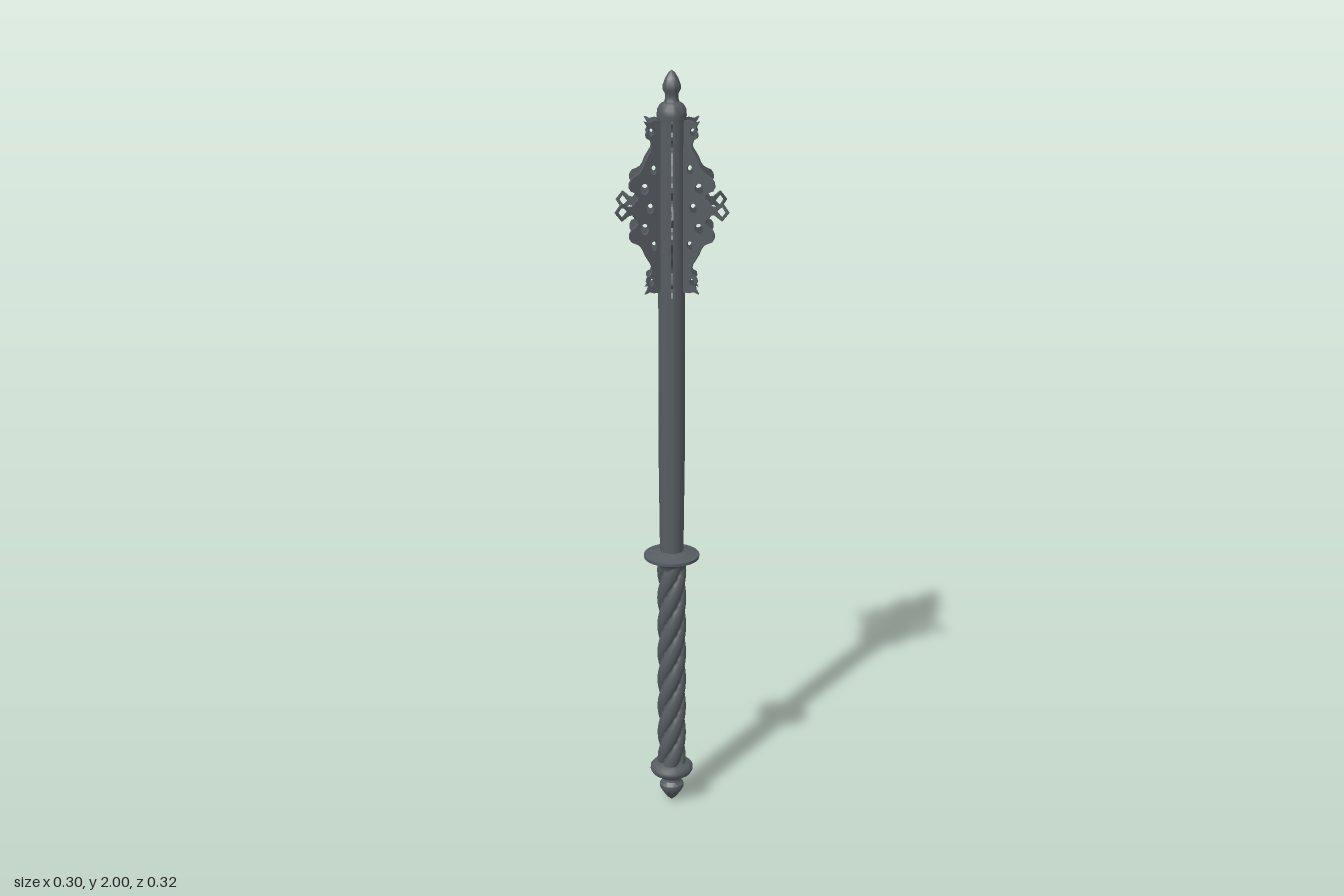
import * as THREE from 'three';
import { mergeVertices, toCreasedNormals } from 'three/addons/utils/BufferGeometryUtils.js';

const MID = 1.665; // height of the flange tips

export function createModel() {
  const model = new THREE.Group();
  model.name = 'flangedMace';
  const steel = new THREE.MeshStandardMaterial({ color: 0x565c61 });
  steel.name = 'darkSteel';

  const add = (name, geometry, parent = model) => {
    const mesh = new THREE.Mesh(geometry, steel);
    mesh.name = name;
    parent.add(mesh);
    return mesh;
  };
  // Turned part from [radius, height] pairs, bottom to top
  const turned = (name, profile) => {
    const points = profile.map(([r, y]) => new THREE.Vector2(r, y));
    add(name, toCreasedNormals(new THREE.LatheGeometry(points, 32), 0.7));
  };

  turned('pommel', [[0, 0], [0.012, 0.01], [0.026, 0.03], [0.033, 0.043], [0.032, 0.052], [0.022, 0.061],
    [0.021, 0.068], [0.034, 0.076], [0.053, 0.089], [0.058, 0.098], [0.057, 0.107], [0.05, 0.114], [0.03, 0.12], [0, 0.12]]);
  turned('guard', [[0, 0.695], [0.036, 0.695], [0.038, 0.705], [0.048, 0.714], [0.073, 0.725],
    [0.073, 0.733], [0.05, 0.737], [0.034, 0.745], [0, 0.745]]);
  turned('shaft', [[0.031, 0.735], [0.034, 1.0], [0.034, 1.88], [0, 1.88]]);
  turned('finial', [[0, 1.875], [0.035, 1.875], [0.037, 1.89], [0.036, 1.905], [0.029, 1.917], [0.019, 1.923],
    [0.016, 1.932], [0.017, 1.943], [0.022, 1.953], [0.022, 1.964], [0.016, 1.98], [0.008, 1.993], [0, 2]]);

  // Grip of four twisted strands
  const STRANDS = 4, PITCH = 0.32;
  let grip = new THREE.CylinderGeometry(1, 1, 0.6, 48, 120, true);
  grip.translate(0, 0.41, 0);
  const pos = grip.attributes.position;
  for (let i = 0; i < pos.count; i++) {
    const y = pos.getY(i);
    const angle = Math.atan2(pos.getX(i), pos.getZ(i));
    const phase = STRANDS * (angle - (y / PITCH) * Math.PI * 2) / 2;
    const r = 0.026 + 0.0125 * Math.sqrt(Math.abs(Math.sin(phase)));
    pos.setXYZ(i, Math.sin(angle) * r, y, Math.cos(angle) * r);
  }
  grip.deleteAttribute('uv');
  grip.deleteAttribute('normal');
  grip = mergeVertices(grip, 1e-5);
  grip.computeVertexNormals();
  add('twistedGrip', grip);

  // Pierced flange outline: upper half from the tip inwards, then mirrored below
  const half = [[0.142, 0.023], [0.122, 0.011], [0.112, 0.011], [0.105, 0.02], [0.097, 0.026], [0.096, 0.034],
    [0.103, 0.042], [0.115, 0.048], [0.121, 0.058], [0.12, 0.07], [0.113, 0.08], [0.1, 0.086], [0.09, 0.092],
    [0.083, 0.102], [0.077, 0.116], [0.068, 0.13], [0.06, 0.142], [0.057, 0.156], [0.061, 0.168],
    [0.072, 0.175], [0.074, 0.184], [0.068, 0.194], [0.07, 0.204], [0.078, 0.216], [0.064, 0.212],
    [0.052, 0.216], [0.02, 0.216]];
  const outline = [[0.161, 0], ...half, ...half.map(([r, y]) => [r, -y]).reverse()];
  const shape = new THREE.Shape(outline.map(([r, y]) => new THREE.Vector2(r, y)));

  const roundHole = (r, y, rx, ry) => {
    const hole = new THREE.Path();
    hole.absellipse(r, y, rx, ry, 0, Math.PI * 2, true);
    shape.holes.push(hole);
  };
  roundHole(0.062, 0, 0.01, 0.013);
  for (const s of [1, -1]) {
    roundHole(0.078, s * 0.05, 0.012, 0.014);
    roundHole(0.052, s * 0.095, 0.008, 0.012);
    roundHole(0.059, s * 0.188, 0.007, 0.01);
  }
  // Diamond opening in the tip
  shape.holes.push(new THREE.Path([[0.152, 0], [0.141, -0.014], [0.127, 0], [0.141, 0.014]]
    .map(([r, y]) => new THREE.Vector2(r, y))));

  const plate = new THREE.ExtrudeGeometry(shape, { depth: 0.005, bevelEnabled: false, curveSegments: 8 });
  plate.translate(0, MID, -0.0025);
  const flanges = new THREE.Group();
  flanges.name = 'flanges';
  for (let i = 0; i < 6; i++) {
    const flange = add('flange', plate, flanges);
    flange.rotation.y = THREE.MathUtils.degToRad(-22.2 + i * 60);
  }
  model.add(flanges);

  return model;
}
